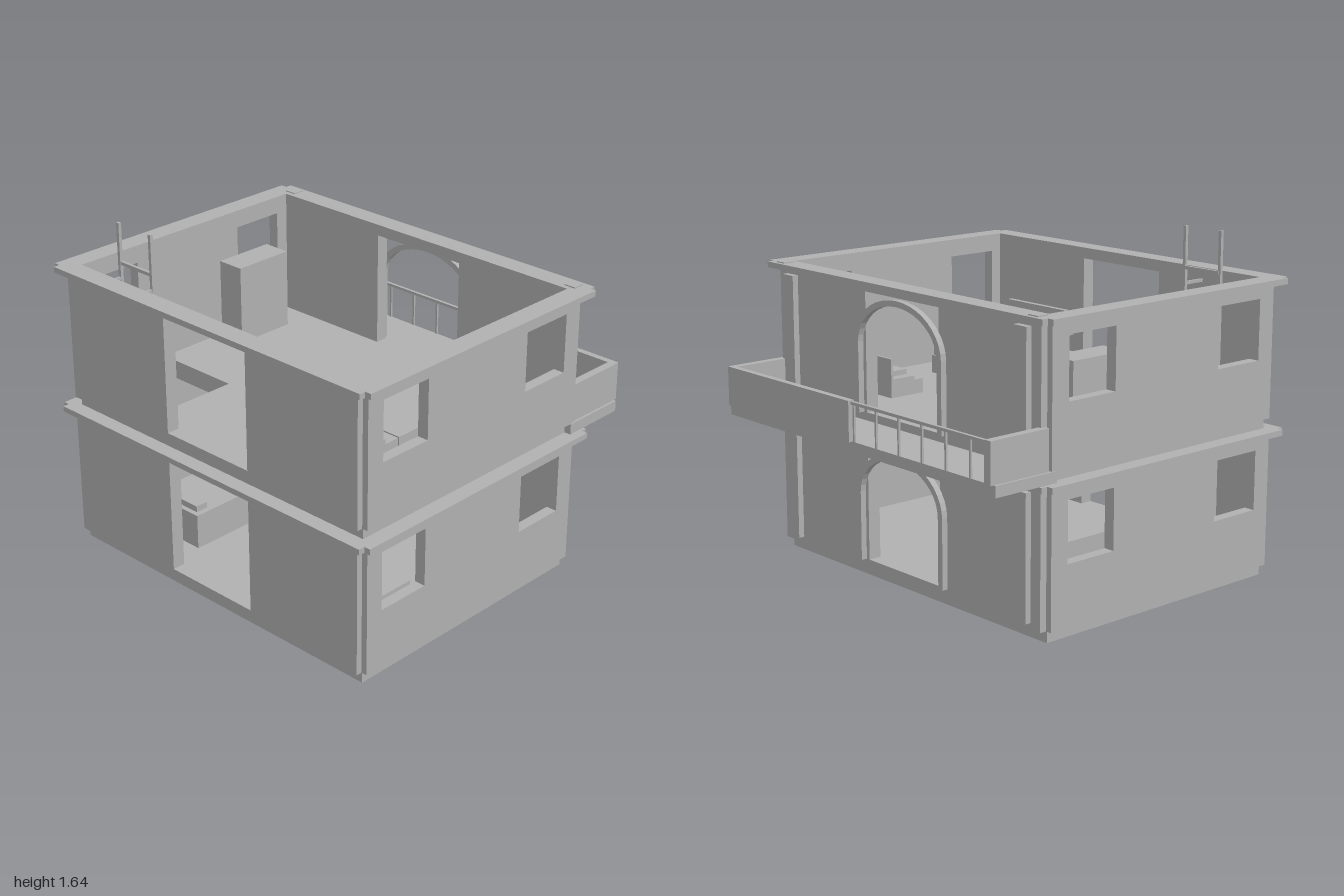
import * as THREE from 'three';

const plaster = new THREE.MeshStandardMaterial({ color: 0xb0b0b0 });
plaster.name = 'plaster grey';

function add(parent, name, geometry, x = 0, y = 0, z = 0) {
  const mesh = new THREE.Mesh(geometry, plaster);
  mesh.name = name;
  mesh.position.set(x, y, z);
  parent.add(mesh);
  return mesh;
}

// Box given by its limits on each axis
function box(parent, name, x0, x1, y0, y1, z0, z1) {
  return add(parent, name, new THREE.BoxGeometry(x1 - x0, y1 - y0, z1 - z0),
    (x0 + x1) / 2, (y0 + y1) / 2, (z0 + z1) / 2);
}

function rectPoints(a0, a1, b0, b1) {
  return [[a0, b0], [a1, b0], [a1, b1], [a0, b1]].map(p => new THREE.Vector2(...p));
}

// Extruded outline with rectangular holes
function panel(points, holes, depth) {
  const shape = new THREE.Shape(points);
  holes.forEach(h => shape.holes.push(new THREE.Path(rectPoints(...h))));
  return new THREE.ExtrudeGeometry(shape, { depth, bevelEnabled: false });
}

// Horizontal plate drawn in x and z, hanging below its top height
function plate(parent, name, points, holes, y0, y1) {
  return add(parent, name, panel(points, holes, y1 - y0).rotateX(Math.PI / 2), 0, y1, 0);
}

// Rectangle with small square notches in its corners
function notched(x, z0, z1, n) {
  return [[-x + n, z0], [x - n, z0], [x - n, z0 + n], [x, z0 + n], [x, z1 - n], [x - n, z1 - n],
    [x - n, z1], [-x + n, z1], [-x + n, z1 - n], [-x, z1 - n], [-x, z0 + n], [-x + n, z0 + n]]
    .map(p => new THREE.Vector2(...p));
}

const ROOM = [-0.895, 0.895, -0.535, 0.79];

// Arched trim around the rear opening
function archTrim(parent, y0) {
  const shape = new THREE.Shape();
  const spring = y0 + 0.375, steps = 20;
  shape.moveTo(0.31, y0 + 0.04);
  for (let i = 0; i <= steps; i++) {
    const a = Math.PI * i / steps;
    shape.lineTo(0.31 * Math.cos(a), spring + 0.228 * Math.sin(a));
  }
  shape.lineTo(-0.31, y0 + 0.04);
  shape.lineTo(-0.28, y0 + 0.04);
  for (let i = steps; i >= 0; i--) {
    const a = Math.PI * i / steps;
    shape.lineTo(0.28 * Math.cos(a), spring + 0.2 * Math.sin(a));
  }
  shape.lineTo(0.28, y0 + 0.04);
  add(parent, 'archTrim', new THREE.ExtrudeGeometry(shape, { depth: 0.03, bevelEnabled: false }), 0, 0, -0.63);
}

// Walls, openings and cornice of one storey
function storey(name, y0) {
  const g = new THREE.Group();
  g.name = name;
  const y1 = y0 + 0.635;
  const door = [-0.26, 0.26, y0 + 0.04, y0 + 0.608];
  const facade = () => panel(rectPoints(-0.92, 0.92, y0, y1), [door], 0.065);
  add(g, 'frontWall', facade(), 0, 0, 0.79);
  add(g, 'backWall', facade(), 0, 0, -0.6);

  const sill = y0 + 0.288, head = y0 + 0.576;
  const windows = [[0.457, 0.733, sill, head], [-0.469, -0.193, sill, head]];
  for (const x of [0.95, -0.895]) {
    const side = panel(rectPoints(-0.565, 0.825, y0, y1), windows, 0.055).rotateY(-Math.PI / 2);
    add(g, 'sideWall', side, x, 0, 0);
  }
  archTrim(g, y0);
  for (const s of [-1, 1]) {
    const x = s * 0.82;
    box(g, 'pilaster', x - 0.04, x + 0.04, y0 + 0.03, y1 - 0.02, -0.63, -0.59);
  }
  plate(g, 'cornice', notched(1, -0.64, 0.895, 0.032), [ROOM], y1, y1 + 0.028);
  return g;
}

function balcony() {
  const g = new THREE.Group();
  g.name = 'balcony';
  box(g, 'balconySlab', -0.955, 0.955, 0.719, 0.771, -0.885, -0.54);
  box(g, 'parapet', 0, 0.94, 0.771, 0.96, -0.905, -0.873);
  for (const s of [-1, 1]) {
    box(g, 'endParapet', s * 0.9225 - 0.02, s * 0.9225 + 0.02, 0.771, 0.96, -0.9, -0.575);
  }
  box(g, 'handrail', -0.905, 0, 0.942, 0.956, -0.893, -0.877);
  for (let i = 0; i < 6; i++) {
    const x = -0.015 - i * 0.157;
    box(g, 'railPost', x - 0.005, x + 0.005, 0.771, 0.943, -0.89, -0.88);
  }
  return g;
}

function ladder() {
  const g = new THREE.Group();
  g.name = 'ladder';
  for (const x of [-0.757, -0.538]) {
    box(g, 'stile', x - 0.008, x + 0.008, 0.095, 1.645, 0.664, 0.68);
    box(g, 'wallBracket', x - 0.006, x + 0.006, 1.365, 1.38, 0.67, 0.79);
  }
  for (let i = 0; i < 11; i++) {
    const y = 0.198 + i * 0.125;
    box(g, 'rung', -0.757, -0.538, y - 0.008, y + 0.008, 0.661, 0.677);
  }
  return g;
}

function bedroom() {
  const g = new THREE.Group();
  g.name = 'bedroomFurniture';
  const F = 0.81;
  box(g, 'bedBase', 0.3, 0.71, F, 0.9, 0.165, 0.69);
  box(g, 'mattress', 0.305, 0.705, 0.9, 0.95, 0.175, 0.685);
  box(g, 'blanket', 0.3, 0.71, 0.9, 0.956, 0.23, 0.37);
  box(g, 'headboard', 0.293, 0.717, F, 1.12, 0.688, 0.714);
  for (const x of [0.325, 0.525]) box(g, 'pillow', x, x + 0.16, 0.95, 0.99, 0.56, 0.66);

  // Nightstands with lamps
  for (const x of [0.222, 0.787]) {
    box(g, 'nightstand', x - 0.052, x + 0.052, F, 0.926, 0.56, 0.67);
    add(g, 'lampStem', new THREE.CylinderGeometry(0.025, 0.025, 0.1, 20), x, 0.975, 0.615);
    add(g, 'lampShade', new THREE.CylinderGeometry(0.05, 0.05, 0.053, 28), x, 1.047, 0.615);
  }

  box(g, 'wardrobe', -0.882, -0.737, F, 1.208, -0.38, -0.06);

  // Two-seat bench with a low back
  box(g, 'benchSeat', 0.402, 0.815, F, 0.9, -0.335, -0.2);
  box(g, 'benchFront', 0.402, 0.815, F, 0.88, -0.2, -0.147);
  box(g, 'benchBack', 0.402, 0.815, F, 1.0, -0.342, -0.33);
  for (const x of [0.455, 0.627]) box(g, 'benchCushion', x, x + 0.137, 0.9, 0.925, -0.328, -0.205);
  return g;
}

function livingRoom() {
  const g = new THREE.Group();
  g.name = 'groundFurniture';
  box(g, 'sofa', -0.562, -0.32, 0.095, 0.27, -0.1, 0.645);
  box(g, 'sofaCushion', -0.52, -0.35, 0.27, 0.3, 0.555, 0.62);
  box(g, 'cabinet', 0.6, 0.86, 0.095, 0.33, 0.45, 0.74);
  return g;
}

export function createModel() {
  const house = new THREE.Group();
  house.name = 'house';

  // Foundation and floors, with a hatch for the ladder
  const hatch = [-0.835, -0.44, 0.31, 0.727];
  box(house, 'foundation', -0.92, 0.92, 0, 0.055, -0.56, 0.82);
  box(house, 'groundFloor', -0.897, 0.897, 0.05, 0.095, -0.537, 0.792);
  plate(house, 'upperSlab', rectPoints(-0.92, 0.92, -0.56, 0.82), [hatch], 0.716, 0.77);
  plate(house, 'upperFloor', rectPoints(-0.897, 0.897, -0.537, 0.792), [hatch], 0.77, 0.81);

  house.add(storey('groundStorey', 0.055), storey('upperStorey', 0.77));
  house.add(balcony(), ladder(), bedroom(), livingRoom());

  // Caps on the rear corners of the roof rim
  for (const s of [-1, 1]) {
    const x = s * 0.89;
    box(house, 'cornerCap', x - 0.03, x + 0.03, 1.43, 1.438, -0.62, -0.56);
  }
  return house;
}
